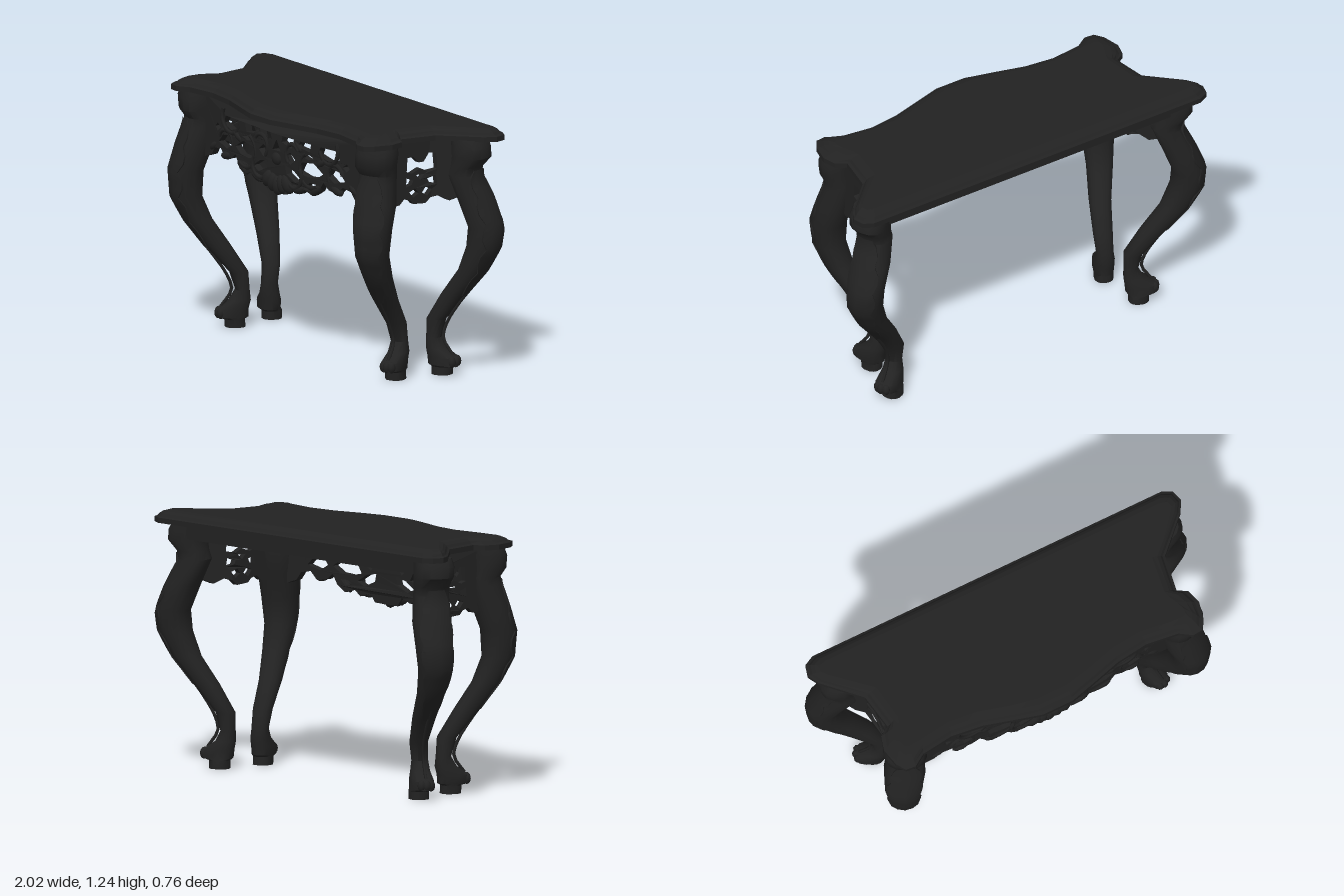
import * as THREE from 'three';
import { toCreasedNormals } from 'three/addons/utils/BufferGeometryUtils.js';

const wood = new THREE.MeshStandardMaterial({ color: 0x222222 });
wood.name = 'ebonyWood';

function add(parent, name, geometry) {
  const mesh = new THREE.Mesh(geometry, wood);
  mesh.name = name;
  parent.add(mesh);
  return mesh;
}

// Skins a stack of rings ([x, y, z] points, bottom to top); closed skins get caps.
function skin(rings, closed = true, crease = 0.7) {
  const n = rings[0].length, index = [];
  const last = (rings.length - 1) * n;
  for (let i = 0; i < rings.length - 1; i++) {
    for (let j = 0; j < (closed ? n : n - 1); j++) {
      const a = i * n + j, b = i * n + (j + 1) % n;
      index.push(a, a + n, b, b, a + n, b + n);
    }
  }
  if (closed) {
    const tri = ring => THREE.ShapeUtils.triangulateShape(ring.map(p => new THREE.Vector2(p[0], p[2])), []);
    tri(rings[0]).forEach(([a, b, c]) => index.push(a, b, c));
    tri(rings[rings.length - 1]).forEach(([a, b, c]) => index.push(last + a, last + c, last + b));
  }
  const g = new THREE.BufferGeometry();
  g.setAttribute('position', new THREE.Float32BufferAttribute(rings.flat(2), 3));
  g.setIndex(index);
  return toCreasedNormals(g, crease);
}

// Tabletop half outline: outer x, z and inner x, z
const TOP = [
  [0, -.38, 0, -.32], [.93, -.38, .89, -.32], [.98, -.355, .925, -.31], [.995, -.3, .935, -.28],
  [.965, -.245, .91, -.25], [.8, -.08, .735, -.09], [.77, .1, .71, .09], [.82, .13, .72, .13],
  [.84, .2, .74, .17], [.82, .29, .755, .21], [.79, .335, .75, .235], [.74, .34, .73, .245],
  [.68, .3, .66, .24], [.52, .28, .51, .22], [.36, .3, .36, .235], [.2, .345, .2, .28], [.08, .378, .08, .305],
];

function tabletop(parent) {
  const full = [...TOP, ...TOP.slice(1).reverse().map(([x, z, u, w]) => [-x, z, -u, w])];
  const levels = [[1.175, 0], [1.2, 0], [1.206, .2], [1.218, .35], [1.228, .6], [1.235, 1]];
  add(parent, 'tabletop', skin(levels.map(([y, t]) =>
    full.map(([x, z, u, w]) => [x + (u - x) * t, y, z + (w - z) * t])), true, 0.1));
}

// Leg sections: y, centre x, centre z, half size outward, half size across
const FRONT_LEG = [
  [0, .66, .052, .05, .047], [.04, .66, .055, .05, .047], [.05, .665, .065, .08, .05], [.09, .665, .062, .078, .052],
  [.13, .652, .03, .053, .047], [.18, .645, .02, .034, .042], [.27, .648, .04, .046, .047], [.4, .69, .13, .062, .053],
  [.53, .74, .21, .068, .063], [.65, .765, .262, .075, .076], [.78, .768, .262, .083, .09], [.9, .745, .23, .087, .1],
  [1, .73, .21, .078, .093], [1.04, .73, .205, .074, .093], [1.08, .735, .222, .085, .102], [1.14, .74, .22, .088, .105],
  [1.18, .735, .215, .08, .098],
];
const BACK_LEG = [
  [0, .7, -.19, .05, .048], [.04, .7, -.19, .05, .048], [.05, .72, -.188, .08, .054], [.09, .715, -.185, .078, .055],
  [.13, .685, -.167, .048, .047], [.18, .675, -.16, .034, .04], [.27, .68, -.172, .046, .043], [.4, .765, -.215, .062, .054],
  [.53, .86, -.258, .07, .065], [.65, .915, -.28, .08, .08], [.75, .92, -.29, .08, .088], [.88, .875, -.265, .08, .094],
  [1, .83, -.23, .075, .085], [1.04, .84, -.235, .072, .085], [1.09, .865, -.245, .09, .096], [1.14, .865, -.242, .09, .096],
  [1.18, .85, -.24, .08, .092],
];

function leg(parent, name, sections, side, dx, dz) {
  const group = new THREE.Group();
  group.name = name;
  parent.add(group);
  const soft = v => Math.sign(v) * Math.abs(v) ** 0.85;
  // Point on a leg section at an angle from its outward direction
  const at = ([y, cx, cz, a, b], t, grow = 0) => {
    const u = soft(Math.cos(t)) * (a + grow), v = soft(Math.sin(t)) * (b + grow), ex = dx * side;
    return [cx * side + u * ex - v * dz, y, cz + u * dz + v * ex];
  };
  const sample = y => {
    const i = Math.max(1, sections.findIndex(s => s[0] >= y));
    const p = sections[i - 1], q = sections[i], t = (y - p[0]) / (q[0] - p[0]);
    return p.map((v, k) => v + (q[k] - v) * t);
  };
  add(group, 'cabrioleLeg', skin(sections.map(s =>
    Array.from({ length: 14 }, (_, j) => at(s, j / 14 * Math.PI * 2)))));

  // Carved leaf with a jagged edge over the knee
  const leaf = [];
  for (let i = 0; i <= 15; i++) {
    const k = i / 15, s = sample(.4 + k * .63);
    const w = (.25 + .95 * Math.sin(Math.PI * (.1 + .8 * k))) * (i % 3 === 0 ? .78 : 1);
    leaf.push([-1, -.93, -.45, 0, .45, .93, 1].map(f => at(s, f * w, Math.abs(f) === 1 ? -.006 : f ? .005 : .008)));
  }
  add(group, 'kneeLeaf', skin(leaf, false));

  // Thin stem standing clear of the ankle
  const path = [[.45, 0], [.35, .004], [.25, .016], [.18, .019], [.1, -.004]].map(([y, off]) =>
    new THREE.Vector3(...at(sample(y), 0, off)));
  add(group, 'ankleStem', new THREE.TubeGeometry(new THREE.CatmullRomCurve3(path), 12, .008, 5));

  // Toes
  for (const t of [-.5, 0, .5]) {
    const toe = add(group, 'toe', new THREE.SphereGeometry(.02, 8, 6));
    toe.position.set(...at(sample(.07), t, -.01));
    toe.scale.y = 1.4;
  }
}

// Pierced board: outline and holes as [u, y] points, bent by a rule
function pierced(outline, holes, depth, bend) {
  const vec = pts => pts.map(p => new THREE.Vector2(...p));
  const shape = new THREE.Shape(vec(outline));
  holes.forEach(h => shape.holes.push(new THREE.Path(vec(h))));
  const g = new THREE.ExtrudeGeometry(shape, { depth, bevelEnabled: false });
  const p = g.attributes.position;
  for (let i = 0; i < p.count; i++) p.setXYZ(i, ...bend(p.getX(i), p.getY(i), p.getZ(i)));
  g.computeVertexNormals();
  return g;
}
const flip = pts => pts.map(([x, y]) => [-x, y]);

const bow = x => .2 + .045 * Math.max(0, Math.cos(x * 2.5));

function frontApron(parent) {
  const half = [
    [0, .82], [.08, .82], [.11, .86], [.18, .84], [.22, .87], [.28, .85], [.33, .88], [.36, .93], [.4, .9], [.46, .89],
    [.5, .93], [.56, .92], [.59, .88], [.65, .86], [.67, 1.178], [.5, 1.178], [.35, 1.178], [.2, 1.178], [.1, 1.178],
  ];
  const outline = [...half, [0, 1.178], ...flip(half.slice(1)).reverse()];
  const holes = [
    [[.04, 1.07], [.12, 1.05], [.14, 1.1], [.05, 1.1]],
    [[.17, 1.07], [.26, 1.06], [.27, 1.1], [.19, 1.1]],
    [[.32, 1.06], [.4, 1.04], [.48, 1.06], [.45, 1.1], [.34, 1.1]],
    [[.17, .95], [.24, .935], [.31, .94], [.36, .97], [.29, 1.01], [.2, 1]],
    [[.08, .92], [.15, .89], [.2, .91], [.14, .945], [.07, .96]],
    [[.39, .97], [.44, .94], [.52, .96], [.48, 1], [.42, 1.01]],
    [[.07, 1.01], [.11, .97], [.15, 1], [.11, 1.03]],
    [[.19, 1.03], [.25, 1.02], [.3, 1.03], [.26, 1.045]],
    [[.23, .89], [.28, .88], [.31, .91], [.26, .91]],
    [[.5, 1.03], [.53, 1.01], [.55, 1.03], [.53, 1.05]],
  ];
  const all = [...holes, ...holes.map(flip), [[-.035, 1.02], [.035, 1.02], [0, 1.075]]];
  add(parent, 'frontApron', pierced(outline, all, .035, (x, y, z) => [x, y, z + bow(x)]));

  // Carved scrolls and leaves on the face: x, y, radius, start angle
  const scrolls = [[.13, 1.02, .055, .6], [.265, .97, .085, 2], [.4, 1.1, .075, 3.4], [.45, .97, .06, .3], [.14, .92, .06, 3.6]];
  const leaves = [[.17, .86, .05, .3], [.3, .88, .05, .6], [.45, .905, .05, -.2], [.57, .93, .045, -.6], [.34, 1.02, .045, .5], [.17, 1.07, .04, -.7]];
  for (const s of [1, -1]) {
    for (const [x, y, r, a] of scrolls) {
      const m = add(parent, 'scroll', new THREE.TorusGeometry(r, .011, 5, 14, 3.4));
      m.position.set(s * x, y, bow(x) + .034);
      m.rotation.z = s > 0 ? a : Math.PI - a - 3.4;
    }
    for (const [x, y, r, a] of leaves) {
      const m = add(parent, 'apronLeaf', new THREE.SphereGeometry(r, 8, 6));
      m.scale.set(1, .42, .4);
      m.position.set(s * x, y, bow(x) + .026);
      m.rotation.z = s * a;
    }
  }

  // Centre shell with lobes
  for (let i = -2; i <= 2; i++) {
    const m = add(parent, 'shellLobe', new THREE.SphereGeometry(.05, 8, 6));
    m.scale.set(.75, 1, .55);
    m.position.set(i * .038, .85 + Math.abs(i) * .01, bow(0) + .025);
    m.rotation.z = i * .35;
  }
  const boss = add(parent, 'centreBoss', new THREE.SphereGeometry(.04, 8, 6));
  boss.scale.set(1, .8, .5);
  boss.position.set(0, .98, bow(0) + .03);
}

function sideApron(parent, name, s) {
  const outline = [
    [.17, 1.178], [.17, .9], [.13, .87], [.1, .875], [.075, .9], [.04, .89], [.02, .87], [-.05, .865], [-.08, .89],
    [-.11, .9], [-.15, .875], [-.2, .9], [-.21, 1.178], [-.08, 1.178],
  ];
  const holes = [
    [[.055, 1.1], [.02, 1.1], [-.01, 1.07], [-.04, 1.07], [-.07, 1.11], [-.1, 1.11], [-.105, 1.03], [-.06, 1.02], [-.02, 1.04], [.03, 1.02], [.06, 1.03]],
    [[.06, 1], [.065, .955], [.03, .965], [.02, .985]],
    [[-.1, 1], [-.105, .955], [-.07, .965], [-.06, .985]],
    [[.005, 1.01], [-.02, .985], [-.045, 1.01]],
    [[.045, .93], [.01, .945], [-.01, .92], [.02, .9]],
    [[-.085, .93], [-.05, .945], [-.03, .92], [-.06, .9]],
  ];
  const turn = pts => pts.map(([z, y]) => [-s * z, y]);
  // Runs straight from the front leg, then flares out to the back leg
  add(parent, name, pierced(turn(outline), holes.map(turn), .03, (u, y, w) => {
    const z = -s * u;
    const inner = s > 0 ? w : .03 - w;
    const x = .73 + .8 * Math.max(0, -.08 - z) + (s > 0 ? inner : .03 - inner);
    return [s * x, y, z];
  }));
}

export function createModel() {
  const model = new THREE.Group();
  model.name = 'consoleTable';
  tabletop(model);
  for (const [side, word] of [[1, 'left'], [-1, 'right']]) {
    leg(model, word + 'FrontLeg', FRONT_LEG, side, .38, .925);
    leg(model, word + 'BackLeg', BACK_LEG, side, .93, -.37);
    sideApron(model, word + 'SideApron', side);
  }
  frontApron(model);
  // Rail under the back edge
  const rail = add(model, 'backRail', new THREE.BoxGeometry(1.66, .075, .03));
  rail.position.set(0, 1.14, -.3);
  return model;
}
